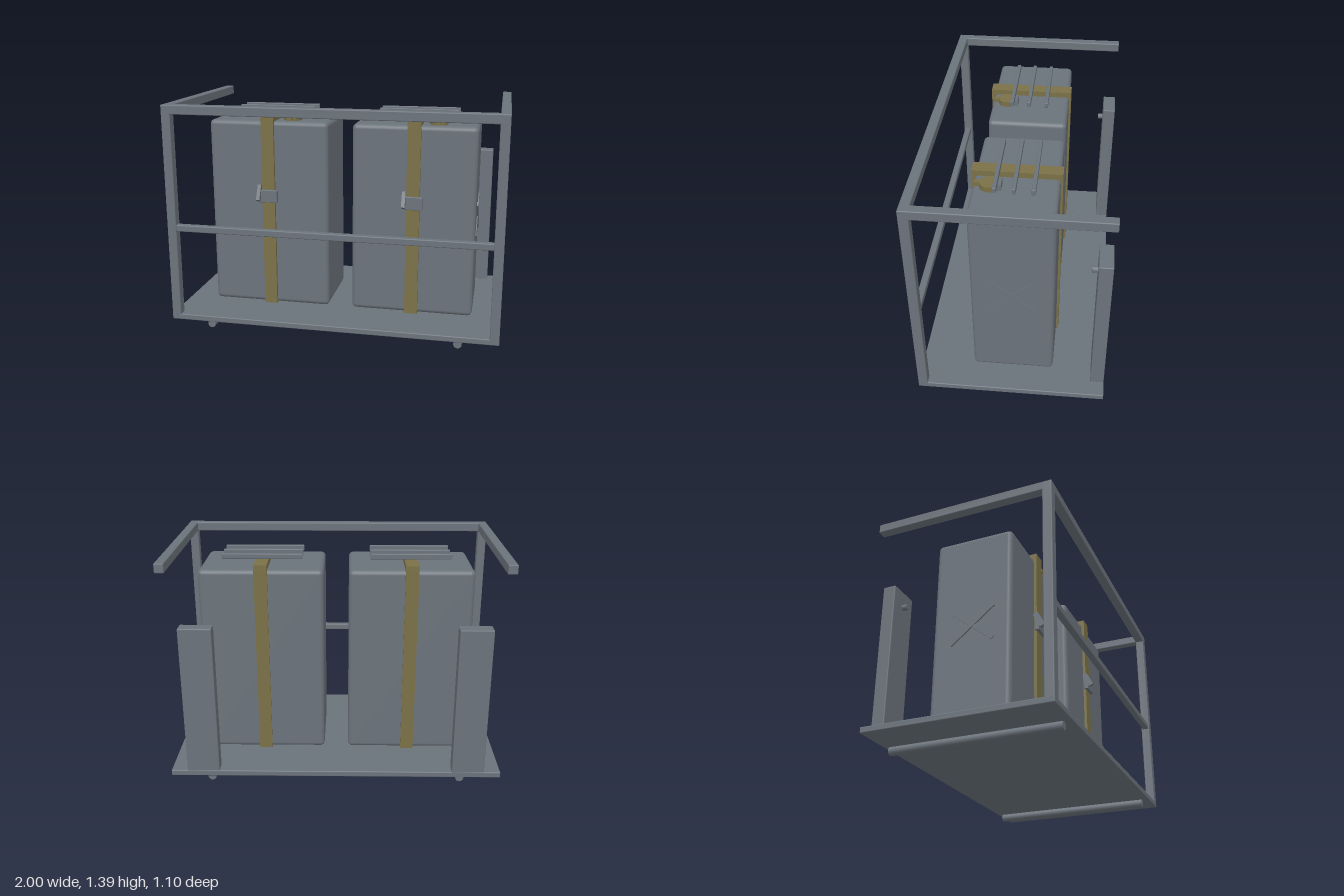
import * as THREE from 'three';
import { RoundedBoxGeometry } from 'three/addons/geometries/RoundedBoxGeometry.js';

const steel = new THREE.MeshStandardMaterial({ color: 0x6b737b });
steel.name = 'grey steel';
const olive = new THREE.MeshStandardMaterial({ color: 0x7b7148 });
olive.name = 'olive webbing';

function add(parent, name, geometry, material, x, y, z) {
  const mesh = new THREE.Mesh(geometry, material);
  mesh.name = name;
  mesh.position.set(x, y, z);
  parent.add(mesh);
  return mesh;
}

// Box given by its low and high limits on each axis, optionally with rounded edges
function block(parent, name, material, [x0, x1], [y0, y1], [z0, z1], radius = 0) {
  const size = [x1 - x0, y1 - y0, z1 - z0];
  const geometry = radius
    ? new RoundedBoxGeometry(...size, 3, radius)
    : new THREE.BoxGeometry(...size);
  return add(parent, name, geometry, material, (x0 + x1) / 2, (y0 + y1) / 2, (z0 + z1) / 2);
}

function createFrame() {
  const frame = new THREE.Group();
  frame.name = 'rackFrame';
  const r = 0.006;
  block(frame, 'basePlate', steel, [-1, 1], [0.058, 0.094], [-0.55, 0.55], r);
  block(frame, 'frontTopRail', steel, [-1, 1], [1.336, 1.392], [0.493, 0.55], r);
  block(frame, 'frontMiddleRail', steel, [-0.96, 0.96], [0.625, 0.666], [0.502, 0.542], r);
  for (const s of [-1, 1]) {
    const outer = s < 0 ? [-1, -0.944] : [0.944, 1];
    block(frame, 'frontPost', steel, outer, [0.07, 1.38], [0.493, 0.55], r);
    block(frame, 'sideTopRail', steel, outer, [1.336, 1.392], [-0.55, 0.55], r);
    // Short rear post with its round latch knob
    block(frame, 'rearPost', steel, s < 0 ? [-0.9, -0.705] : [0.705, 0.9],
      [0.09, 1.01], [-0.55, -0.47], r);
    add(frame, 'latchKnob', new THREE.CylinderGeometry(0.018, 0.018, 0.035, 10), steel,
      s * 0.8, 0.908, -0.455).rotation.x = Math.PI / 2;
    // Round runner under the plate
    add(frame, 'runner', new THREE.CylinderGeometry(0.025, 0.025, 1.015, 16), steel,
      s * 0.76, 0.029, 0.002).rotation.x = Math.PI / 2;
  }
  return frame;
}

function createCan(side) {
  const can = new THREE.Group();
  can.name = side < 0 ? 'rightCan' : 'leftCan';
  block(can, 'canBody', steel, [-0.375, 0.375], [0.094, 1.266], [-0.24, 0.238], 0.028);

  // Crossed ribs on the outer side
  [1, -1].forEach((tilt, i) => {
    const rib = add(can, 'crossRib', new THREE.BoxGeometry(0.02, 0.026, 0.335), steel,
      side * (0.374 - i * 0.003), 0.682, 0.002);
    rib.rotation.x = -tilt * 0.68;
  });

  // Strap over front, top and back
  const width = [-0.04, 0.04];
  block(can, 'strapFront', olive, width, [0.094, 1.3], [0.234, 0.256]);
  block(can, 'strapTop', olive, width, [1.262, 1.3], [-0.253, 0.256]);
  block(can, 'strapBack', olive, width, [0.094, 1.3], [-0.253, -0.236]);

  // Three carrying bars across the top
  for (const z of [-0.107, 0, 0.105]) {
    block(can, 'carryBar', steel, [-0.245, 0.245], [1.304, 1.336], [z - 0.011, z + 0.011], 0.004);
  }

  // Filler cap with its tab and rear hinge
  add(can, 'fillerCap', new THREE.CylinderGeometry(0.055, 0.055, 0.036, 10).toNonIndexed(), olive,
    0.136, 1.281, 0.145);
  block(can, 'capTab', olive, [0.124, 0.148], [1.274, 1.3], [0.185, 0.226]);
  block(can, 'capHinge', steel, [0.1, 0.172], [1.264, 1.304], [0.076, 0.1]);

  // Buckle plate and tilted lever
  const buckle = new THREE.Group();
  buckle.name = 'buckle';
  block(buckle, 'bucklePlate', steel, [-0.052, 0.058], [0.763, 0.842], [0.246, 0.274], 0.004);
  const lever = add(buckle, 'buckleLever', new THREE.BoxGeometry(0.022, 0.1, 0.032), steel,
    -0.053, 0.824, 0.277);
  lever.rotation.x = -0.48;
  can.add(buckle);

  can.position.x = side * 0.45;
  return can;
}

export function createModel() {
  const model = new THREE.Group();
  model.name = 'canRack';
  model.add(createFrame(), createCan(-1), createCan(1));
  return model;
}
